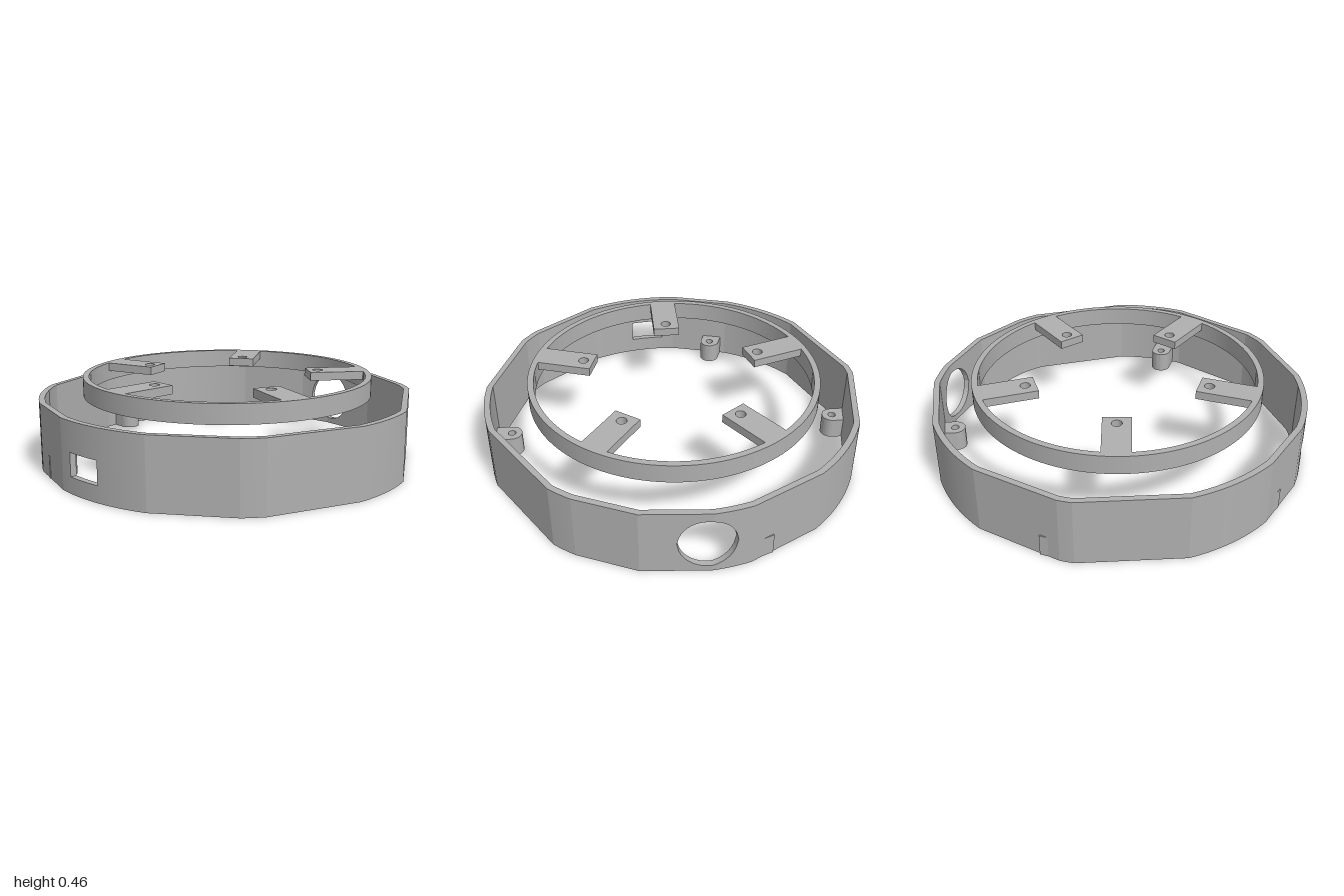
import * as THREE from 'three';
import { toCreasedNormals } from 'three/addons/utils/BufferGeometryUtils.js';

const RAD = Math.PI / 180;
const WALL_TOP = 0.36, RING_TOP = 0.46, INNER_SCALE = 0.968;
const grey = new THREE.MeshStandardMaterial({ color: 0xb0b0b0 });

function addMesh(parent, name, geometry) {
  const mesh = new THREE.Mesh(geometry, grey);
  mesh.name = name;
  parent.add(mesh);
  return mesh;
}

// Extrudes a plan shape upward from y0 to y1
function slab(shape, y0, y1, segments = 24) {
  const g = new THREE.ExtrudeGeometry(shape, { depth: y1 - y0, bevelEnabled: false, curveSegments: segments });
  g.rotateX(-Math.PI / 2).translate(0, y0, 0);
  return toCreasedNormals(g, 0.5);
}

function addHole(shape, x, r) {
  shape.holes.push(new THREE.Path().absarc(x, 0, r, 0, Math.PI * 2, true));
  return shape;
}

// Wall outline: [end angle, kind]; straight flats cut into a unit circle
const START = -102;
const SECTIONS = [
  [-75.5, 'arc'], [-52.4, 'flat'], [-41.1, 'arc'], [-21.6, 'flat'], [-3, 'flat'],
  [4.6, 'arc'], [36.7, 'flat'], [59.4, 'arc'], [87.5, 'flat'], [94.3, 'arc'],
  [118.5, 'flat'], [133.8, 'arc'], [145, 'window'], [149.4, 'arc'], [169.1, 'flat'],
  [196.4, 'arc'], [227.4, 'flat'], [231.5, 'arc'], [258, 'flat'],
];

// Height range of the opening in the wall at one column
function opening(x, z, kind) {
  if (kind === 'window') return [0.085, 0.205];
  const a = -40 * RAD, r = 0.14, mid = 0.172;
  const across = -x * Math.sin(a) + z * Math.cos(a);
  const along = x * Math.cos(a) + z * Math.sin(a);
  const half = along > 0 && Math.abs(across) < r ? Math.sqrt(r * r - across * across) : 0;
  return [mid - half, mid + half];
}

function wallColumns() {
  const columns = [];
  let from = START;
  for (const [to, kind] of SECTIONS) {
    const n = Math.ceil((to - from) / 0.6);
    for (let i = 0; i <= n; i++) {
      const t = i / n, a = from * RAD, b = to * RAD, m = a + (b - a) * t;
      const flat = kind === 'flat';
      const x = flat ? Math.cos(a) * (1 - t) + Math.cos(b) * t : Math.cos(m);
      const z = flat ? Math.sin(a) * (1 - t) + Math.sin(b) * t : Math.sin(m);
      const [lo, hi] = opening(x, z, kind);
      columns.push({ x, z, lo, hi });
    }
    from = to;
  }
  return columns;
}

// Sweeps a closed section below and another above the openings
function wallGeometry() {
  const pos = [], tri = new THREE.Triangle();
  const columns = wallColumns();
  const loops = [
    c => [[1, 0], [1, c.lo], [INNER_SCALE, c.lo], [INNER_SCALE, 0]],
    c => [[INNER_SCALE, c.hi], [1, c.hi], [1, WALL_TOP], [INNER_SCALE, WALL_TOP]],
  ];
  const point = (c, [s, y]) => new THREE.Vector3(c.x * s, y, c.z * s);
  const face = (a, b, c) => {
    if (tri.set(a, b, c).getArea() > 1e-9) for (const p of [a, b, c]) pos.push(p.x, p.y, p.z);
  };
  for (let j = 0; j + 1 < columns.length; j++) {
    const c = columns[j], d = columns[j + 1];
    const closed = c.hi - c.lo < 1e-6 && d.hi - d.lo < 1e-6;
    loops.forEach((loop, upper) => {
      const P = loop(c).map(v => point(c, v)), Q = loop(d).map(v => point(d, v));
      for (let k = 0; k < 4; k++) {
        if (closed && k === (upper ? 0 : 1)) continue;
        const n = (k + 1) % 4;
        face(Q[k], P[k], P[n]);
        face(Q[k], P[n], Q[n]);
      }
    });
  }
  const g = new THREE.BufferGeometry();
  g.setAttribute('position', new THREE.Float32BufferAttribute(pos, 3));
  return toCreasedNormals(g, 0.14);
}

export function createModel() {
  const model = new THREE.Group();
  model.name = 'ringHousing';

  // Outer wall with a round port and a rectangular window
  addMesh(model, 'outerWall', wallGeometry());

  // Raised inner ring
  const upper = new THREE.Group();
  upper.name = 'upperRing';
  upper.position.z = -0.005;
  model.add(upper);
  const ring = addHole(new THREE.Shape().absarc(0, 0, 0.77, 0, Math.PI * 2), 0, 0.738);
  addMesh(upper, 'innerRing', slab(ring, WALL_TOP, RING_TOP, 96));

  // Five drilled tabs pointing inward, flush with the ring top
  const tab = new THREE.Shape();
  tab.moveTo(0.445, -0.0725).lineTo(0.75, -0.0725).lineTo(0.75, 0.0725).lineTo(0.445, 0.0725).closePath();
  const tabGeometry = slab(addHole(tab, 0.5, 0.027), RING_TOP - 0.045, RING_TOP);
  for (let i = 0; i < 5; i++) {
    addMesh(upper, 'mountingTab', tabGeometry).rotation.y = i * 72 * RAD;
  }

  // Four screw bosses on the wall: [angle, distance from centre]
  for (const [angle, r] of [[-125.8, 0.896], [-56.4, 0.899], [164.4, 0.894], [53.6, 0.883]]) {
    const boss = new THREE.Shape();
    boss.moveTo(0.988, -0.055).lineTo(0.988, 0.055).lineTo(r, 0.055);
    boss.absarc(r, 0, 0.055, Math.PI / 2, Math.PI * 1.5);
    boss.closePath();
    addMesh(model, 'screwBoss', slab(addHole(boss, r, 0.021), 0, 0.115)).rotation.y = -angle * RAD;
  }
  return model;
}
